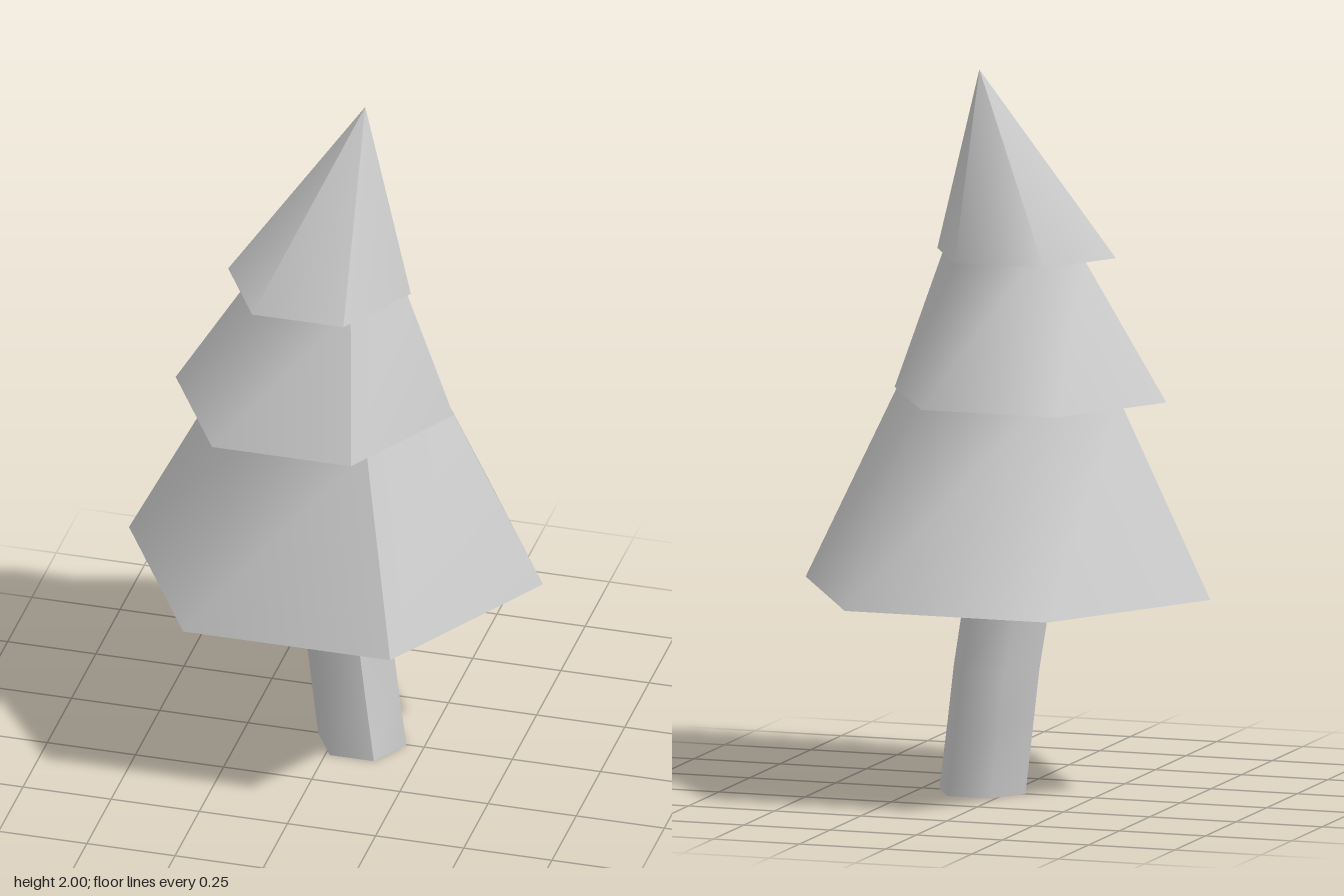
import * as THREE from 'three';

const foliage = new THREE.MeshStandardMaterial({ color: 0xcccccc, side: THREE.DoubleSide });
const bark = foliage.clone();

// Angles of the hexagon corners, in two smooth runs; hard edges lie where runs meet.
const runs = [[180, 120, 60], [60, 0, -60, -120, -180]];

// Corner of a hexagonal ring { x, y, z, r } at an angle in degrees.
function corner(ring, degrees) {
  const a = THREE.MathUtils.degToRad(degrees);
  return [ring.x + ring.r * Math.cos(a), ring.y, ring.z + ring.r * Math.sin(a)];
}

// Skins a hexagonal tube through rings listed from bottom to top.
function loft(rings, closedBottom) {
  const positions = [];
  const index = [];
  for (const run of runs) {
    const start = positions.length / 3;
    const n = run.length;
    for (const ring of rings) for (const a of run) positions.push(...corner(ring, a));
    for (let i = 0; i < rings.length - 1; i++) {
      for (let j = 0; j < n - 1; j++) {
        const a = start + i * n + j;
        const b = a + 1;
        const c = b + n;
        const d = a + n;
        if (rings[i + 1].r > 0) index.push(a, b, c, a, c, d);
        else index.push(a, b, d, b, c, d); // second triangle closes to nothing at a tip
      }
    }
  }
  // Flat underside, with its own corners so that the rim stays sharp
  if (closedBottom) {
    const start = positions.length / 3;
    for (let k = 0; k < 6; k++) positions.push(...corner(rings[0], 180 - k * 60));
    for (let k = 1; k < 5; k++) index.push(start, start + k + 1, start + k);
  }
  const geometry = new THREE.BufferGeometry();
  geometry.setAttribute('position', new THREE.Float32BufferAttribute(positions, 3));
  geometry.setIndex(index);
  geometry.computeVertexNormals();
  return geometry;
}

export function createModel() {
  const tree = new THREE.Group();
  tree.name = 'pineTree';

  const add = (name, material, closedBottom, rings) => {
    const points = rings.map(([x, y, z, r]) => ({ x, y, z, r }));
    const mesh = new THREE.Mesh(loft(points, closedBottom), material);
    mesh.name = name;
    tree.add(mesh);
  };

  // Leaning, slightly bent trunk, open at its ends: rings are [x, y, z, radius]
  add('trunk', bark, false, [
    [0.075, 0, 0.002, 0.125],
    [0.048, 0.2, -0.006, 0.124],
    [0.03, 0.35, -0.008, 0.124],
    [-0.003, 0.57, 0, 0.125],
  ]);

  // Three stacked skirts of branches, each tilting its own way
  add('lowerBranches', foliage, true, [
    [0, 0.567, 0, 0.587],
    [0.01, 1.097, 0.031, 0.325],
  ]);
  add('middleBranches', foliage, true, [
    [-0.045, 1.097, 0.057, 0.394],
    [0.003, 1.483, 0.053, 0.204],
  ]);
  add('topBranches', foliage, true, [
    [-0.022, 1.483, 0.09, 0.259],
    [0.083, 2, 0, 0],
  ]);

  return tree;
}
